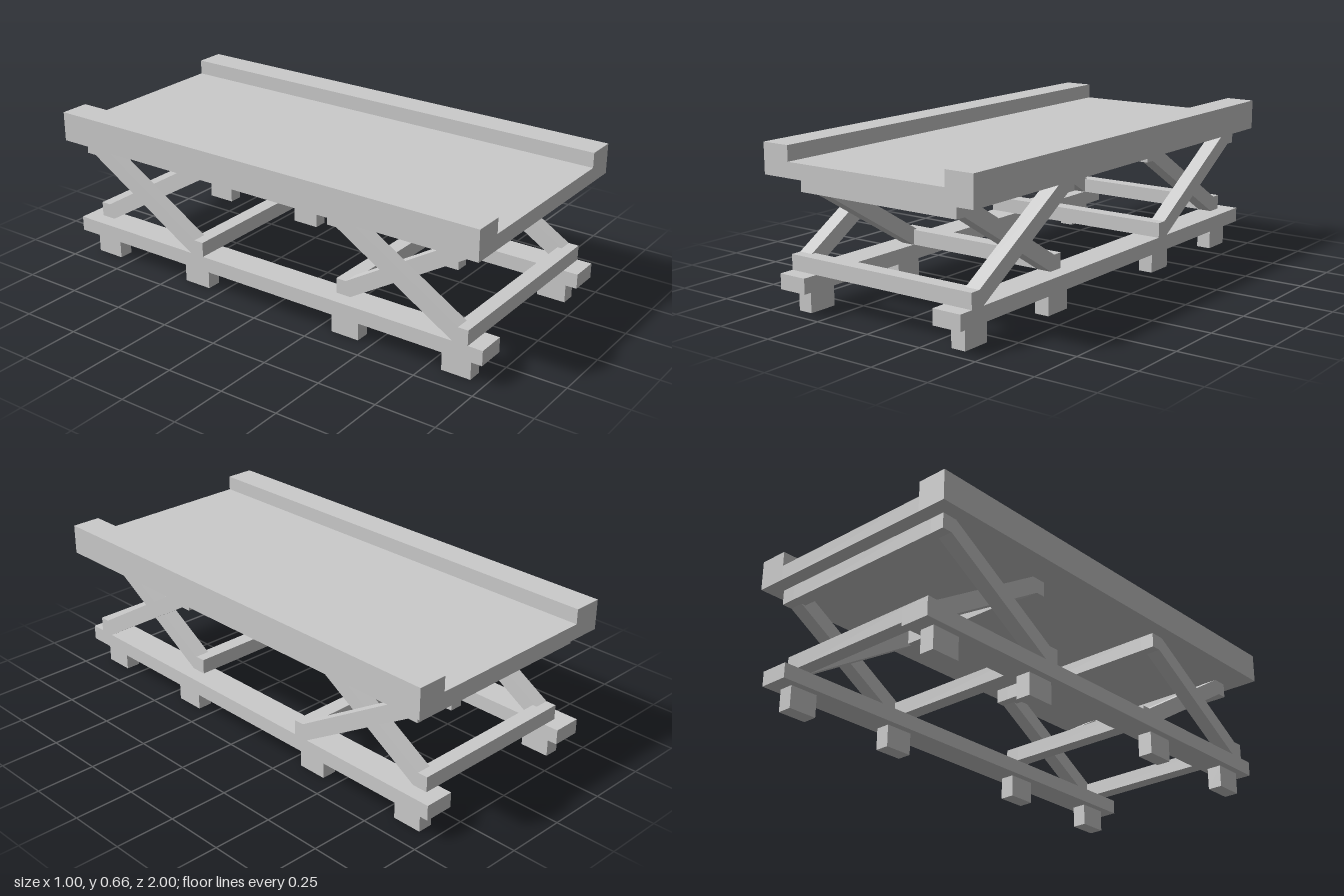
import * as THREE from 'three';

const U = 1 / 32; // building unit

export function createModel() {
  const model = new THREE.Group();
  model.name = 'scissorTable';
  const material = new THREE.MeshStandardMaterial({ color: 0xcccccc, flatShading: true });

  // Box given by its lower and upper limits, in building units
  function box(name, [x0, x1], [y0, y1], [z0, z1], parent = model) {
    const geometry = new THREE.BoxGeometry((x1 - x0) * U, (y1 - y0) * U, (z1 - z0) * U);
    const mesh = new THREE.Mesh(geometry, material);
    mesh.name = name;
    mesh.position.set((x0 + x1) / 2 * U, (y0 + y1) / 2 * U, (z0 + z1) / 2 * U);
    parent.add(mesh);
    return mesh;
  }
  const span = (side, a, b) => (side > 0 ? [a, b] : [-b, -a]);

  // Deck
  box('deck', [-12, 12], [17, 19], [-32, 32]);

  // Raised side rails, base runners and feet
  for (const side of [1, -1]) {
    const label = side > 0 ? 'left' : 'right';
    box(label + 'SideRail', span(side, 12, 16), [17, 21], [-32, 32]);
    box(label + 'BaseRunner', span(side, 10, 14), [3, 5], [-32, 32]);
    for (const end of [1, -1])
      for (const z of [10, 26])
        box(label + 'Foot', span(side, 11, 13), [0, 3], span(end, z, z + 4));
  }

  // Arm profile (z, y) about the middle of a scissor; slope +1 rises toward the back
  function armGeometry(slope) {
    const half = [[10, -6], [10, -4], [8.6, -4], [-7.9, 6]];
    const points = [...half, ...half.map(([z, y]) => [-z, -y])]
      .map(([z, y]) => new THREE.Vector2(z * slope * U, y * U));
    const geometry = new THREE.ExtrudeGeometry(new THREE.Shape(points), { depth: 2 * U, bevelEnabled: false });
    geometry.translate(0, 0, -U);
    geometry.rotateY(-Math.PI / 2);
    return geometry;
  }

  // A frame is two slanted arms joined by a bar at the bottom and the top
  function scissorFrame(name, slope, inner, zMid) {
    const frame = new THREE.Group();
    frame.name = name;
    const geometry = armGeometry(slope);
    for (const side of [1, -1]) {
      const arm = new THREE.Mesh(geometry, material);
      arm.name = side > 0 ? 'leftArm' : 'rightArm';
      arm.position.set(side * (inner + 1) * U, 11 * U, zMid * U);
      frame.add(arm);
    }
    const barSpan = (s) => span(s, 8, 10).map((z) => z + zMid);
    box('bottomBar', [-inner, inner], [5, 7], barSpan(slope), frame);
    box('topBar', [-inner, inner], [15, 17], barSpan(-slope), frame);
    model.add(frame);
  }

  // Front and back scissors, each an outer and an inner frame
  for (const [label, zMid] of [['front', 20], ['back', -20]]) {
    scissorFrame(label + 'OuterFrame', 1, 12, zMid);
    scissorFrame(label + 'InnerFrame', -1, 10, zMid);
  }

  return model;
}
